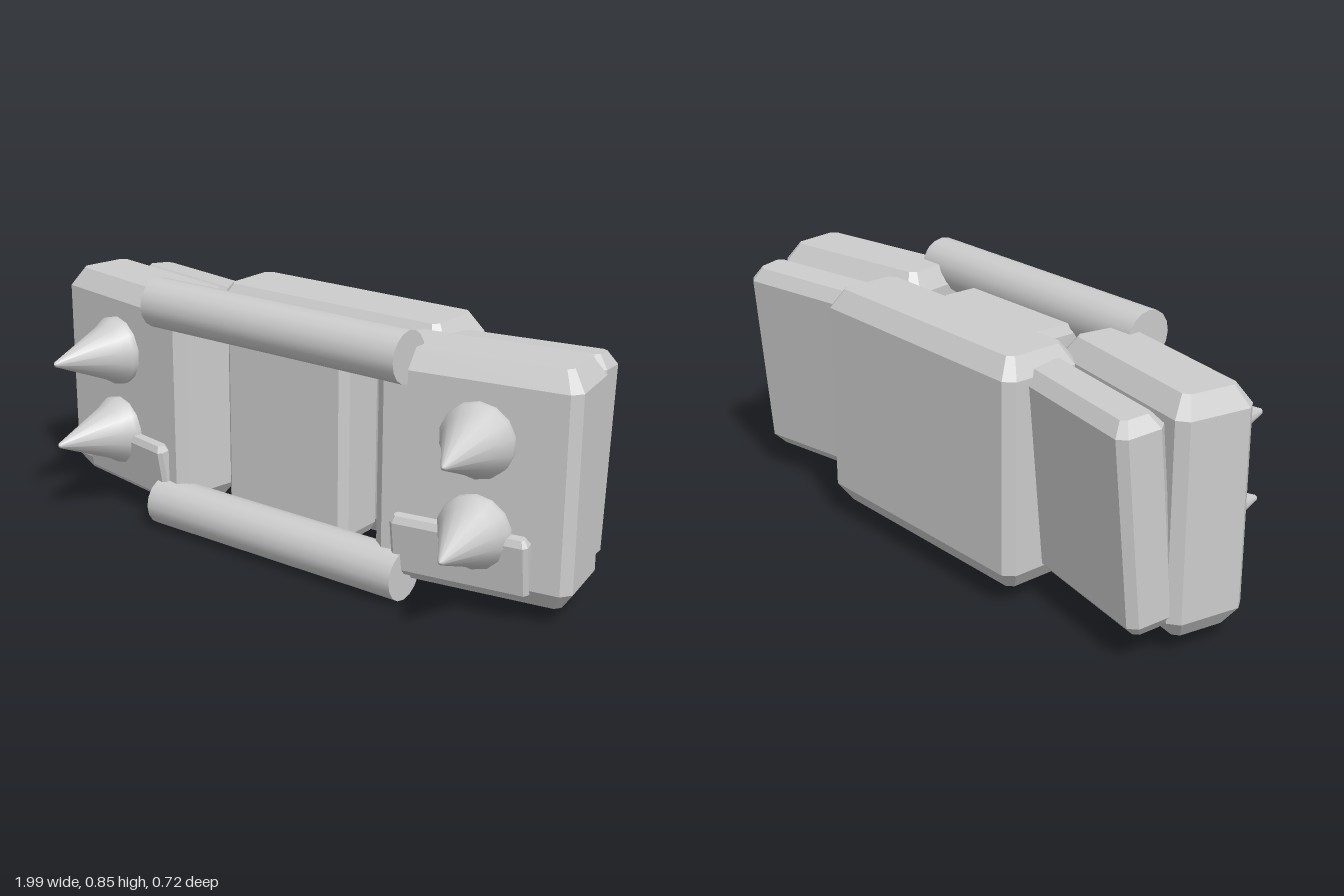
import * as THREE from 'three';
import { ConvexGeometry } from 'three/addons/geometries/ConvexGeometry.js';

const grey = new THREE.MeshStandardMaterial({ color: 0xcccccc });
grey.name = 'plainGrey';
const YAW = 0.175;

// Block with cut vertical corners and sloping top and bottom edges
function bevelBlock(w, h, d, cut, inset, rise) {
  const points = [];
  for (const [level, shrink] of [[h / 2, inset], [h / 2 - rise, 0]]) {
    const x = w / 2 - shrink, z = d / 2 - shrink;
    const c = shrink ? cut * 0.6 : cut;
    for (const sx of [-1, 1]) for (const sy of [-1, 1]) for (const sz of [-1, 1]) {
      points.push(new THREE.Vector3(sx * (x - c), sy * level, sz * z));
      points.push(new THREE.Vector3(sx * x, sy * level, sz * (z - c)));
    }
  }
  return new ConvexGeometry(points);
}

function add(group, name, geometry, x, y, z, yaw = 0, tilt = 0) {
  const mesh = new THREE.Mesh(geometry, grey);
  mesh.name = name;
  mesh.position.set(x, y, z);
  mesh.rotation.set(tilt, yaw, 0, 'YXZ');
  group.add(mesh);
}

export function createModel() {
  const model = new THREE.Group();
  model.name = 'spikedGuard';

  // Central blocks
  add(model, 'backBlock', bevelBlock(0.9, 0.73, 0.28, 0.03, 0.04, 0.06), 0, 0.425, -0.22);
  add(model, 'innerBlock', bevelBlock(0.48, 0.66, 0.19, 0.025, 0.015, 0.03), 0, 0.425, 0.018);

  // Horizontal bars
  const bar = new THREE.CylinderGeometry(0.081, 0.081, 0.98, 16);
  bar.rotateZ(Math.PI / 2);
  add(model, 'upperBar', bar, 0, 0.768, 0.145);
  add(model, 'lowerBar', bar, 0, 0.082, 0.145);

  // Spike: short collar, shoulder and long point along +z
  const spike = new THREE.LatheGeometry(
    [[0.115, 0], [0.115, 0.022], [0.094, 0.055], [0.009, 0.253], [0, 0.26]]
      .map(([r, y]) => new THREE.Vector2(r, y)), 14);
  spike.rotateX(Math.PI / 2);

  const sideBlock = bevelBlock(0.626, 0.73, 0.258, 0.03, 0.04, 0.06);
  const rearPlate = bevelBlock(0.59, 0.66, 0.155, 0.025, 0.03, 0.04);
  const frontPlate = bevelBlock(0.435, 0.2, 0.05, 0.012, 0.012, 0.02);

  // Mirrored wings
  for (const side of [1, -1]) {
    const wing = new THREE.Group();
    wing.name = side > 0 ? 'leftWing' : 'rightWing';
    const yaw = YAW * side;
    add(wing, 'sideBlock', sideBlock, 0.671 * side, 0.425, -0.015, yaw);
    add(wing, 'rearPlate', rearPlate, 0.63 * side, 0.425, -0.21, yaw, -0.095);
    add(wing, 'frontPlate', frontPlate, 0.667 * side, 0.187, 0.117, yaw, 0.16);
    for (const y of [0.275, 0.557]) add(wing, 'spike', spike, 0.711 * side, y, 0.108, yaw);
    model.add(wing);
  }
  return model;
}
